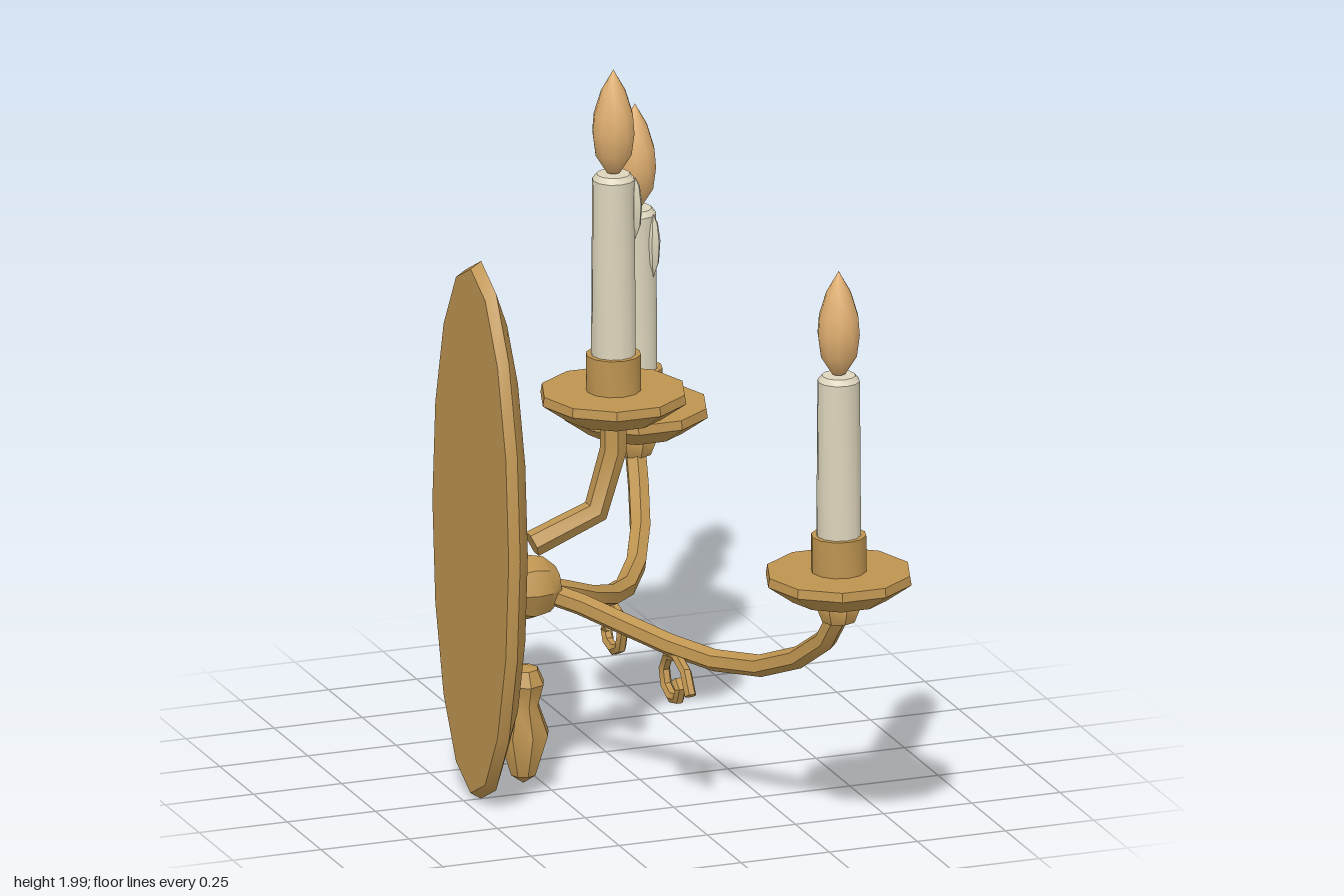
import * as THREE from 'three';
import { toCreasedNormals } from 'three/addons/utils/BufferGeometryUtils.js';

const brass = new THREE.MeshStandardMaterial({ color: 0xbe9450 });
brass.name = 'brass';
const wax = new THREE.MeshStandardMaterial({ color: 0xddd5bc });
wax.name = 'wax';
const flameGlass = new THREE.MeshStandardMaterial({ color: 0xdfae70 });
flameGlass.name = 'flame amber';

function part(name, geometry, material, crease = 0.62) {
  const mesh = new THREE.Mesh(toCreasedNormals(geometry, crease), material);
  mesh.name = name;
  return mesh;
}

// Turned part around the y axis; profile is [radius, height] from bottom to top
function turned(profile, sides) {
  return new THREE.LatheGeometry(profile.map(([r, y]) => new THREE.Vector2(r, y)), sides, Math.PI / 2);
}

// Straight-segmented path with averaged tangents at its corners
class Polyline extends THREE.Curve {
  constructor(points) {
    super();
    this.points = points.map((p) => new THREE.Vector3(...p));
  }
  getPointAt(u) {
    const n = this.points.length - 1;
    return this.points[Math.min(n, Math.round(u * n))].clone();
  }
  getTangentAt(u) {
    const n = this.points.length - 1;
    const i = Math.round(u * n);
    const p = this.points[i];
    const t = new THREE.Vector3();
    if (i > 0) t.add(p.clone().sub(this.points[i - 1]).normalize());
    if (i < n) t.add(this.points[i + 1].clone().sub(p).normalize());
    return t.normalize();
  }
}

// Capped rod with a polygonal section swept along points
function rod(points, radius, sides = 6) {
  const path = new Polyline(points);
  const n = points.length - 1;
  const { normals, binormals } = path.computeFrenetFrames(n, false);
  const pos = [];
  const index = [];
  path.points.forEach((p, i) => {
    for (let j = 0; j < sides; j++) {
      const a = (j / sides) * Math.PI * 2;
      const v = p.clone()
        .addScaledVector(normals[i], Math.cos(a) * radius)
        .addScaledVector(binormals[i], Math.sin(a) * radius);
      pos.push(v.x, v.y, v.z);
    }
  });
  for (let i = 0; i < n; i++) {
    for (let j = 0; j < sides; j++) {
      const k = (j + 1) % sides;
      const a = i * sides + j, b = i * sides + k;
      index.push(a, b, b + sides, a, b + sides, a + sides);
    }
  }
  const last = n * sides;
  for (let j = 1; j < sides - 1; j++) {
    index.push(0, j + 1, j, last, last + j, last + j + 1);
  }
  const g = new THREE.BufferGeometry();
  g.setAttribute('position', new THREE.Float32BufferAttribute(pos, 3));
  g.setIndex(index);
  return g;
}

// Drip pan, socket, candle and flame bulb; panY is the top of the pan
function candleUnit(name, x, panY, z, candleTop, dripX, dripZ) {
  const unit = new THREE.Group();
  unit.name = name;
  unit.position.set(x, 0, z);

  unit.add(part('dripPan', turned([
    [0, panY - 0.075], [0.13, panY - 0.075], [0.2, panY - 0.025], [0.196, panY], [0, panY],
  ], 10), brass, 0.4));
  unit.add(part('socket', turned([
    [0.074, panY - 0.01], [0.074, panY + 0.1], [0, panY + 0.1],
  ], 12), brass));
  unit.add(part('candle', turned([
    [0.06, panY + 0.09], [0.057, candleTop - 0.015], [0.045, candleTop], [0, candleTop],
  ], 12), wax));

  const drip = part('waxDrip', turned([
    [0, -0.1], [0.016, -0.06], [0.02, 0], [0.013, 0.05], [0, 0.075],
  ], 6), wax);
  drip.position.set(dripX, candleTop - 0.085, dripZ);
  unit.add(drip);

  const flame = part('flameBulb', turned([
    [0, 0], [0.018, 0.004], [0.05, 0.055], [0.058, 0.115], [0.054, 0.165], [0.034, 0.23], [0, 0.29],
  ], 10), flameGlass, 1.1);
  flame.position.y = candleTop;
  unit.add(flame);
  return unit;
}

export function createModel() {
  const model = new THREE.Group();
  model.name = 'wallSconce';

  // Domed oval wall plate
  const plate = turned([
    [0, -0.48], [0.975, -0.48], [1, -0.45], [0.86, -0.413], [0.6, -0.395], [0.35, -0.36], [0, -0.335],
  ], 16);
  plate.rotateZ(-Math.PI / 2);
  plate.scale(1, 0.75, 0.29);
  plate.translate(0, 0.76, 0);
  model.add(part('wallPlate', plate, brass));

  // Boss where the arms meet
  const boss = turned([
    [0.075, -0.38], [0.09, -0.32], [0.08, -0.275], [0.05, -0.24], [0, -0.23],
  ], 8);
  boss.rotateZ(-Math.PI / 2);
  boss.translate(0, 0.585, 0);
  model.add(part('boss', boss, brass));

  // Hanging finial
  const finial = part('finial', turned([
    [0, 0.04], [0.035, 0.065], [0.071, 0.18], [0.042, 0.26], [0.058, 0.32], [0.04, 0.36], [0, 0.37],
  ], 8), brass);
  finial.position.x = -0.33;
  model.add(finial);

  // Raised centre arm and its candle
  model.add(part('centreArm', rod([
    [-0.305, 0.703, 0], [-0.125, 0.775, 0], [-0.075, 0.94, 0], [-0.075, 1.05, 0],
  ], 0.036), brass));
  model.add(candleUnit('centreCandle', -0.075, 1.108, 0, 1.71, 0.054, 0.02));

  // Two mirrored side arms with scrolls, cups and candles
  for (const s of [1, -1]) {
    const side = s > 0 ? 'front' : 'back';
    const mirrored = (points) => points.map(([x, y, z]) => [x, y, z * s]);
    model.add(part(side + 'Arm', rod(mirrored([
      [-0.28, 0.575, 0.02], [-0.19, 0.54, 0.06], [-0.095, 0.495, 0.125], [0, 0.455, 0.22],
      [0.085, 0.435, 0.33], [0.165, 0.45, 0.46], [0.225, 0.505, 0.585], [0.262, 0.585, 0.695],
      [0.275, 0.67, 0.753],
    ]), 0.03), brass));
    model.add(part(side + 'Scroll', rod(mirrored([
      [0.01, 0.35, 0.35], [0.01, 0.405, 0.315], [0.01, 0.43, 0.25], [0.01, 0.415, 0.185],
      [0.01, 0.37, 0.155], [0.01, 0.325, 0.17], [0.01, 0.305, 0.215], [0.01, 0.315, 0.26],
      [0.01, 0.345, 0.275], [0.01, 0.36, 0.25],
    ]), 0.016), brass));

    const cup = part(side + 'Cup', turned([
      [0, 0.655], [0.046, 0.655], [0.06, 0.69], [0.05, 0.725],
    ], 8), brass);
    cup.position.set(0.275, 0, 0.755 * s);
    model.add(cup);
    model.add(candleUnit(side + 'Candle', 0.275, 0.795, 0.755 * s, 1.34, 0.035, -0.045 * s));
  }
  return model;
}
